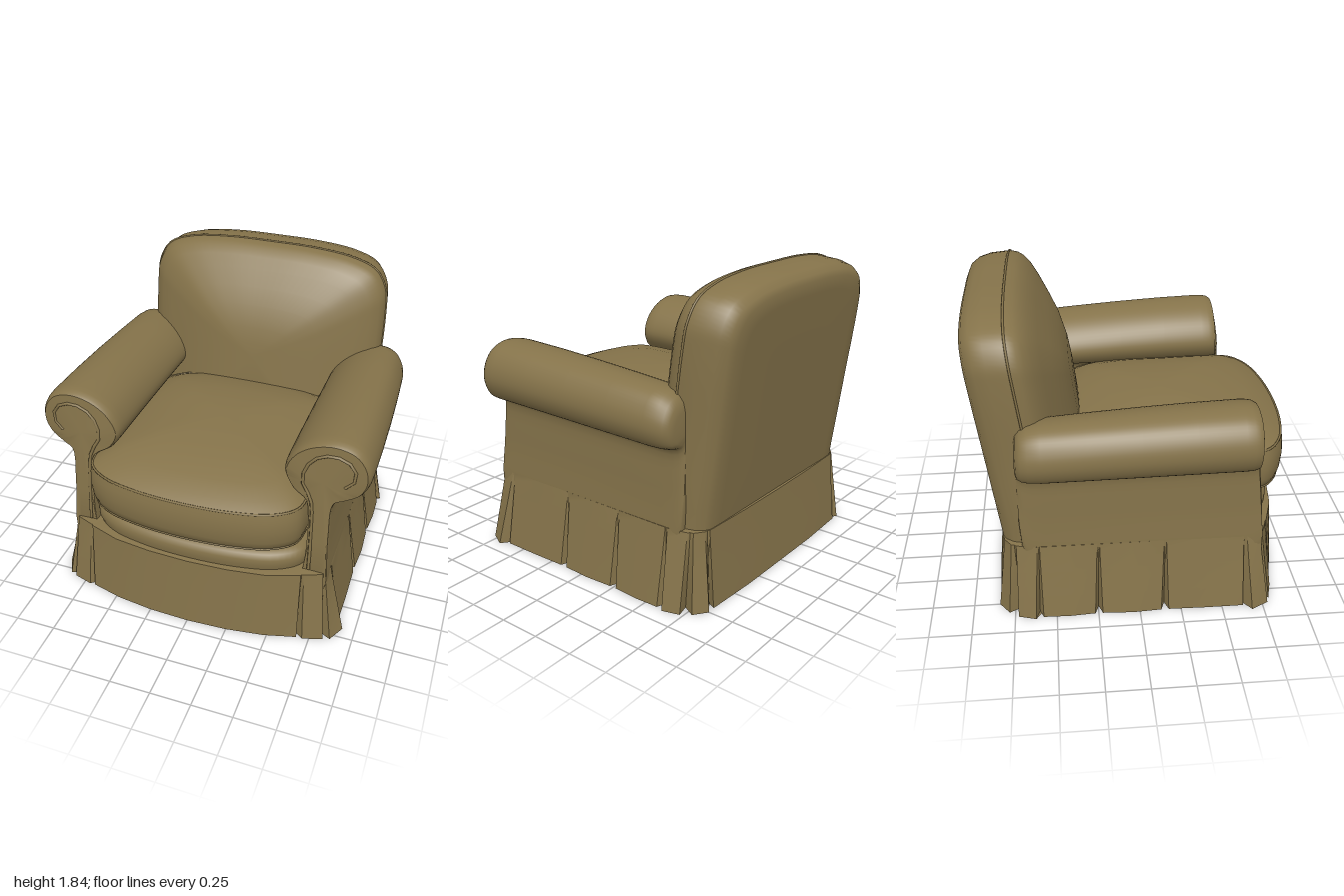
import * as THREE from 'three';
import { toCreasedNormals } from 'three/addons/utils/BufferGeometryUtils.js';

const V = (x, y, z) => new THREE.Vector3(x, y, z);
const { clamp, lerp } = THREE.MathUtils;

// Skin a stack of closed rings (first and last shrunk to a point) into one surface
function skin(rings, crease = 0.8) {
  const n = rings[0].length, pos = [], idx = [];
  rings.forEach(r => r.forEach(p => pos.push(p.x, p.y, p.z)));
  for (let i = 0; i < rings.length - 1; i++) {
    for (let j = 0; j < n; j++) {
      const a = i * n + j, b = i * n + (j + 1) % n, c = a + n, d = b + n;
      if (i > 0) idx.push(a, b, d);
      if (i < rings.length - 2) idx.push(a, d, c);
    }
  }
  const g = new THREE.BufferGeometry();
  g.setAttribute('position', new THREE.Float32BufferAttribute(pos, 3));
  g.setIndex(idx);
  return toCreasedNormals(g, crease);
}

// Complete a half outline that runs from x = 0 round to x = 0 again
const mirror = (half, flip = ([x, y]) => [-x, y]) => half.concat(half.slice(1, -1).reverse().map(flip));

// Smooth closed outline through a few 2D points
function smooth(pts, n) {
  const c = new THREE.CatmullRomCurve3(pts.map(([x, y]) => V(x, y, 0)), true, 'centripetal');
  return c.getPoints(n).slice(0, n).map(p => [p.x, p.y]);
}

// Rings: the outline scaled by s about a centre, at depth d, then placed in space
const makeRings = (outline, [cx, cy], profile, place) =>
  profile.map(([s, d]) => outline.map(([x, y]) => place(cx + (x - cx) * s, cy + (y - cy) * s, d)));

export function createModel() {
  const group = new THREE.Group();
  const fabric = new THREE.MeshStandardMaterial({ color: 0x85734a });
  fabric.name = 'olive fabric';

  const add = (name, geo) => {
    const m = new THREE.Mesh(geo, fabric);
    m.name = name;
    group.add(m);
  };
  const piping = (name, pts, closed, r = 0.007) => add(name, new THREE.TubeGeometry(
    new THREE.CatmullRomCurve3(pts, closed, 'centripetal'), pts.length * 2, r, 6, closed));

  // Back: leaning slab with a pillowed front
  const backOutline = smooth(mirror([[0, 0.1], [0.7, 0.1], [0.775, 0.2], [0.785, 0.5], [0.785, 1.0], [0.785, 1.5],
    [0.77, 1.64], [0.70, 1.755], [0.55, 1.815], [0.3, 1.845], [0, 1.85]]), 96);
  const backPlace = (x, y, d) => V(x, y, -0.8 - 0.133 * (y - 0.48) + d);
  const backRings = makeRings(backOutline, [0, 1.2], [[0, 0], [0.4, 0], [0.75, 0], [0.86, 0.003], [0.91, 0.022],
    [0.955, 0.068], [0.985, 0.14], [1, 0.26], [0.985, 0.31], [0.96, 0.34], [0.9, 0.38], [0.8, 0.42], [0.65, 0.47],
    [0.5, 0.515], [0.3, 0.55], [0.15, 0.561], [0, 0.565]], backPlace);
  add('back', skin(backRings));
  piping('backPiping', backRings[7], true);

  // Seat cushion: crowned pillow with a bowed front
  const seatOutline = smooth(mirror([[0, -0.955], [0.3, -0.935], [0.52, -0.88], [0.64, -0.79], [0.667, -0.68],
    [0.66, -0.3], [0.64, 0.1], [0.56, 0.32], [0.35, 0.42], [0, 0.45]]), 80);
  const flat = (a, b, d) => V(a, d, -b);
  const seatRings = makeRings(seatOutline, [0, -0.2], [[0, 0.615], [0.78, 0.62], [0.9, 0.655], [0.97, 0.705],
    [0.992, 0.76], [1, 0.84], [0.994, 0.91], [0.978, 0.962], [0.9, 0.995], [0.75, 1.035], [0.5, 1.07],
    [0.25, 1.085], [0, 1.09]], flat);
  add('seatCushion', skin(seatRings));
  piping('cushionLowerPiping', seatRings[3], true);
  piping('cushionUpperPiping', seatRings[7], true);

  // Seat deck and rounded front rail
  add('seatRail', skin(makeRings(seatOutline.map(([x, b]) => [x * 1.02, b + 0.085]), [0, -0.2],
    [[0, 0.4], [0.96, 0.4], [0.985, 0.48], [1, 0.52], [1, 0.56], [0.98, 0.595], [0.94, 0.61], [0, 0.61]], flat)));

  // Rolled arms with their side panels
  const armOutline = smooth([[0.67, 0.3], [0.735, 0.29], [0.80, 0.3], [0.80, 0.7], [0.812, 0.965], [0.87, 0.99],
    [0.95, 1.03], [0.998, 1.13], [0.985, 1.235], [0.92, 1.32], [0.80, 1.355], [0.66, 1.325], [0.55, 1.24],
    [0.502, 1.12], [0.55, 1.02], [0.64, 0.96], [0.665, 0.85], [0.67, 0.6]], 90);
  const armProfile = [[0, -0.695], [0.6, -0.695], [0.78, -0.685], [0.9, -0.66], [0.97, -0.62], [1, -0.55],
    [1, -0.3], [1, 0], [1, 0.3], [1, 0.56], [0.99, 0.605], [0.965, 0.635], [0.92, 0.652], [0.5, 0.66], [0, 0.66]];
  const armPlace = side => (x, y, d) => {
    const t = clamp((0.6 - d) / 1.3, 0, 1);
    const outer = Math.max(0, x - 0.8) * 0.25 * t * t;
    // The front post steps forward towards its foot
    const front = 0.08 * clamp((1.25 - y) / 0.75, 0, 1) * clamp((d - 0.3) / 0.27, 0, 1)
      * clamp((0.92 - x) / 0.1, 0, 1) * clamp((x - 0.52) / 0.1, 0, 1);
    const drop = t ** 1.4 * 0.08 * clamp((y - 0.8) / 0.45, 0, 1);
    return V(side * (x - outer), y - drop, d + front);
  };
  for (const side of [1, -1]) {
    const name = side > 0 ? 'left' : 'right';
    const place = armPlace(side);
    const outline = side > 0 ? armOutline : [...armOutline].reverse();
    add(name + 'Arm', skin(makeRings(outline, [0.74, 1.1], armProfile, place)));
    // Scroll seam on the arm front
    piping(name + 'ArmPiping', [[0.70, 0.5], [0.695, 0.8], [0.68, 0.97], [0.62, 1.1], [0.67, 1.23], [0.79, 1.28],
      [0.9, 1.23], [0.91, 1.14], [0.86, 1.09]].map(([x, y]) => place(x, y, 0.657)), false, 0.01);
  }

  // Pleated skirt: panels as [top x, top z, hem x, hem z], front centre to rear centre
  const panels = [
    [[0, 0.89, 0, 0.925], [0.25, 0.88, 0.25, 0.915], [0.48, 0.85, 0.48, 0.885], [0.67, 0.785, 0.675, 0.835]],
    [[0.685, 0.775, 0.71, 0.835], [0.79, 0.735, 0.83, 0.80]],
    [[0.80, 0.72, 0.87, 0.785], [0.812, 0.64, 0.925, 0.68]],
    [[0.812, 0.62, 0.885, 0.63], [0.812, 0.4, 0.885, 0.4], [0.812, 0.16, 0.88, 0.175]],
    [[0.812, 0.145, 0.88, 0.13], [0.812, -0.04, 0.89, -0.04], [0.812, -0.235, 0.88, -0.225]],
    [[0.812, -0.25, 0.88, -0.27], [0.812, -0.42, 0.89, -0.42], [0.812, -0.585, 0.885, -0.58]],
    [[0.812, -0.6, 0.9, -0.625], [0.79, -0.72, 0.87, -0.73]],
    [[0.775, -0.75, 0.83, -0.785], [0.72, -0.79, 0.75, -0.845]],
    [[0.69, -0.80, 0.70, -0.84], [0.35, -0.812, 0.35, -0.855], [0, -0.815, 0, -0.855]],
  ];
  const skirtHalf = [];
  panels.forEach((p, i) => {
    skirtHalf.push(...p);
    if (i === panels.length - 1) return;
    // Folded-in pleat between neighbouring panels
    const a = p[p.length - 1], b = panels[i + 1][0];
    const m = a.map((v, k) => (v + b[k]) / 2);
    skirtHalf.push([m[0] * 0.995, m[1] * 0.995, m[2] * 0.93, m[3] * (Math.abs(m[3]) > 0.65 ? 0.94 : 1)]);
  });
  const skirt = mirror(skirtHalf, ([tx, tz, hx, hz]) => [-tx, tz, -hx, hz]);
  const level = (t, y, s = 1) => skirt.map(([tx, tz, hx, hz]) => V(lerp(hx, tx, t) * s, y, lerp(hz, tz, t) * s));
  add('skirt', skin([level(0, 0.012, 0), level(0, 0.012), level(0.3, 0.15), level(0.65, 0.31), level(0.9, 0.43),
    level(1, 0.48), level(1, 0.485, 0.96), level(1, 0.485, 0)], 0.6));

  return group;
}
